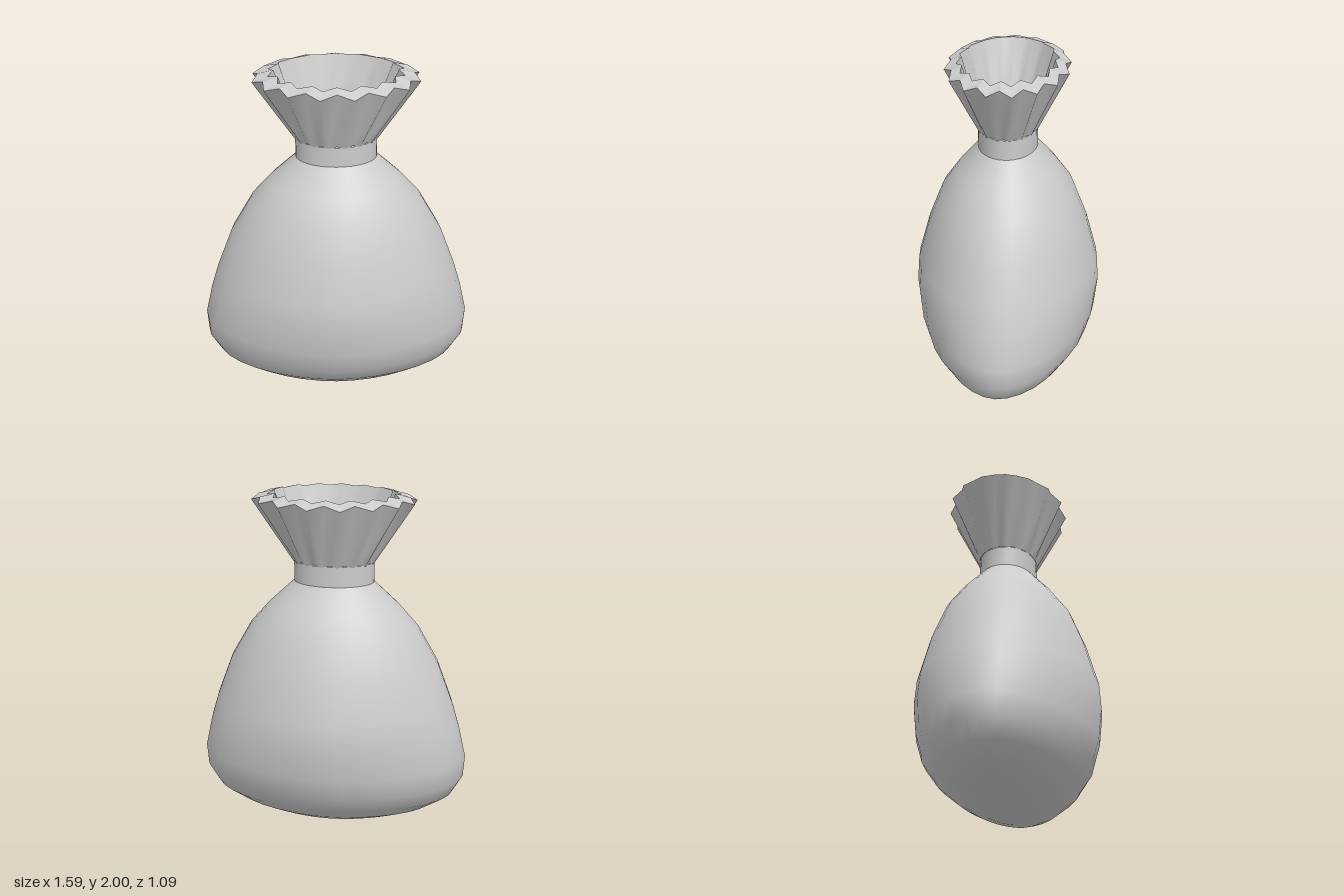
import * as THREE from 'three';

const SEGMENTS = 32;
const material = new THREE.MeshStandardMaterial({ color: 0xcccccc, side: THREE.DoubleSide });
const flatMaterial = new THREE.MeshStandardMaterial({ color: 0xcccccc, side: THREE.DoubleSide, flatShading: true });

// Oval ring; power below 2 pinches the oval towards its two ends
function oval(y, rx, rz, power = 2) {
  const bend = (v) => Math.sign(v) * Math.abs(v) ** (2 / power);
  return Array.from({ length: SEGMENTS }, (_, i) => {
    const a = (i / SEGMENTS) * Math.PI * 2;
    return [rx * bend(Math.cos(a)), y, rz * bend(Math.sin(a))];
  });
}

// Pleated ring: odd points are the folds pointing out, even ones point in
function pleats(outFold, inFold) {
  const outer = oval(...outFold);
  const inner = oval(...inFold);
  return outer.map((p, i) => (i % 2 ? p : inner[i]));
}

// Skin between successive rings; rings running upward face outward
function loft(name, rings, mat = material) {
  const index = [];
  for (let r = 0; r < rings.length - 1; r++) {
    for (let i = 0; i < SEGMENTS; i++) {
      const next = (i + 1) % SEGMENTS;
      const a = r * SEGMENTS + i, b = r * SEGMENTS + next;
      const c = a + SEGMENTS, d = b + SEGMENTS;
      index.push(a, c, b, b, c, d);
    }
  }
  const geometry = new THREE.BufferGeometry();
  geometry.setAttribute('position', new THREE.Float32BufferAttribute(rings.flat(2), 3));
  geometry.setIndex(index);
  geometry.computeVertexNormals();
  const mesh = new THREE.Mesh(geometry, mat);
  mesh.name = name;
  return mesh;
}

export function createModel() {
  const group = new THREE.Group();
  group.name = 'tiedSack';

  // Full, rounded body: height, half width, half depth
  const bodyProfile = [
    [0, 0.001, 0.001], [0.008, 0.14, 0.08], [0.03, 0.28, 0.16], [0.07, 0.47, 0.25],
    [0.11, 0.59, 0.315], [0.19, 0.72, 0.41], [0.3, 0.785, 0.487], [0.43, 0.795, 0.525],
    [0.61, 0.755, 0.545], [0.76, 0.71, 0.535], [1.0, 0.62, 0.468], [1.21, 0.5, 0.385],
    [1.34, 0.385, 0.292], [1.48, 0.235, 0.172],
  ];
  group.add(loft('body', bodyProfile.map(([y, rx, rz]) =>
    oval(y, rx, rz, y < 0.8 ? 1.8 : 1.8 + 0.2 * (y - 0.8) / 0.68))));

  // Straight neck where the sack is gathered
  group.add(loft('neck', [oval(1.48, 0.235, 0.172), oval(1.6, 0.235, 0.172)]));

  // Pleated mouth flaring out above the neck
  const neckTop = pleats([1.595, 0.24, 0.176], [1.605, 0.235, 0.172]);
  const rimOuter = pleats([1.955, 0.48, 0.357], [1.98, 0.44, 0.322]);
  const rimInner = pleats([1.985, 0.39, 0.29], [2.0, 0.35, 0.263]);
  group.add(loft('mouthOutside', [neckTop, rimOuter]));
  group.add(loft('mouthRim', [rimOuter, rimInner], flatMaterial));

  // Inside of the mouth and the closed floor of the neck
  const throat = oval(1.6, 0.215, 0.16);
  const floorEdge = oval(1.48, 0.215, 0.16);
  group.add(loft('mouthInside', [rimInner, throat]));
  group.add(loft('neckInside', [throat, floorEdge]));
  group.add(loft('neckFloor', [floorEdge, oval(1.48, 0.001, 0.001)]));

  return group;
}
